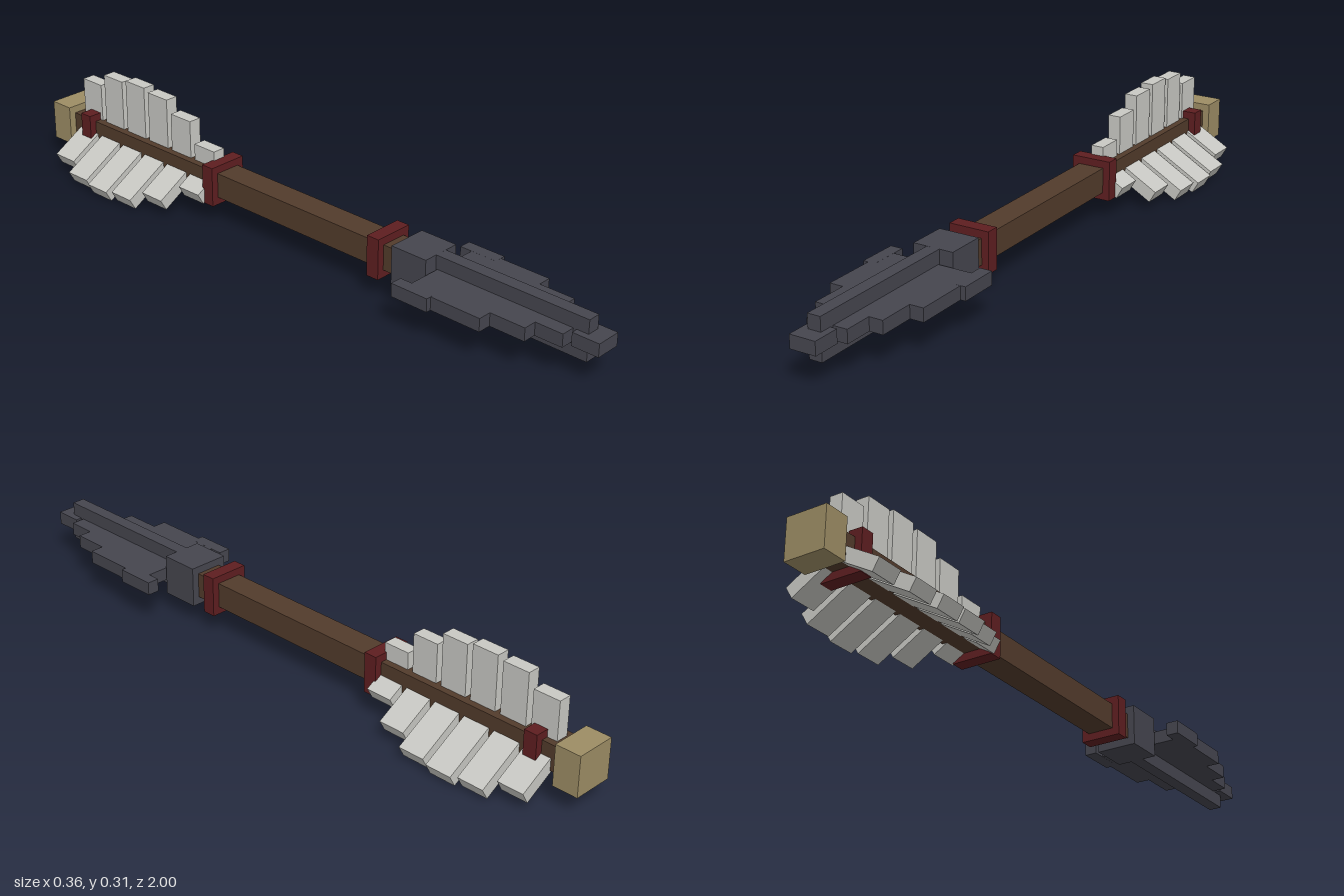
import * as THREE from 'three';

const AXIS = 0.119; // height of the shaft's centre line

export function createModel() {
  const mat = (name, color) => {
    const m = new THREE.MeshStandardMaterial({ color });
    m.name = name;
    return m;
  };
  const iron = mat('darkIron', 0x45454e);
  const wood = mat('brownWood', 0x523b2b);
  const red = mat('redBinding', 0x5e1e20);
  const feather = mat('paleFeather', 0xc8c8c3);
  const bone = mat('tanNock', 0x9c8c64);

  const arrow = new THREE.Group();
  arrow.name = 'arrow';
  arrow.position.y = AXIS;

  // Box centred on the axis, spanning z0..z1
  const bar = (parent, name, material, w, h, z0, z1, x = 0, y = 0) => {
    const mesh = new THREE.Mesh(new THREE.BoxGeometry(w, h, z1 - z0), material);
    mesh.name = name;
    mesh.position.set(x, y, (z0 + z1) / 2);
    parent.add(mesh);
    return mesh;
  };

  // Shaft, nock and bindings
  bar(arrow, 'shaft', wood, 0.078, 0.074, -0.93, 0.38);
  bar(arrow, 'nock', bone, 0.12, 0.118, -1, -0.925);
  for (const z of [0.28, -0.343, -0.87]) bar(arrow, 'binding', red, 0.12, 0.118, z, z + 0.04);

  // Arrowhead: socket, raised spine, and a flat stepped blade with barbs
  const head = new THREE.Group();
  head.name = 'arrowhead';
  arrow.add(head);
  bar(head, 'socket', iron, 0.12, 0.118, 0.365, 0.48);
  bar(head, 'spine', iron, 0.038, 0.1178, 0.47, 0.955);
  const steps = [[0.14, 0.485, 0.72], [0.1, 0.72, 0.827], [0.06, 0.827, 0.91], [0.038, 0.92, 1]];
  for (const [half, z0, z1] of steps) bar(head, 'bladeStep', iron, half * 2, 0.038, z0, z1);
  for (const s of [-1, 1]) {
    bar(head, 'barb', iron, 0.036, 0.0384, 0.448, 0.565, s * 0.137);
  }

  // Three fletchings around the shaft, each a row of six vanes
  const tips = [0.086, 0.15, 0.188, 0.197, 0.188, 0.15];
  for (let f = 0; f < 3; f++) {
    const fletching = new THREE.Group();
    fletching.name = 'fletching';
    fletching.rotation.z = (f * Math.PI * 2) / 3;
    tips.forEach((tip, i) => {
      const root = 0.035, z = -0.377 - i * 0.0966;
      bar(fletching, 'vane', feather, 0.0385, tip - root, z - 0.04, z + 0.04, 0, (tip + root) / 2);
    });
    arrow.add(fletching);
  }

  const model = new THREE.Group();
  model.name = 'model';
  model.add(arrow);
  return model;
}
